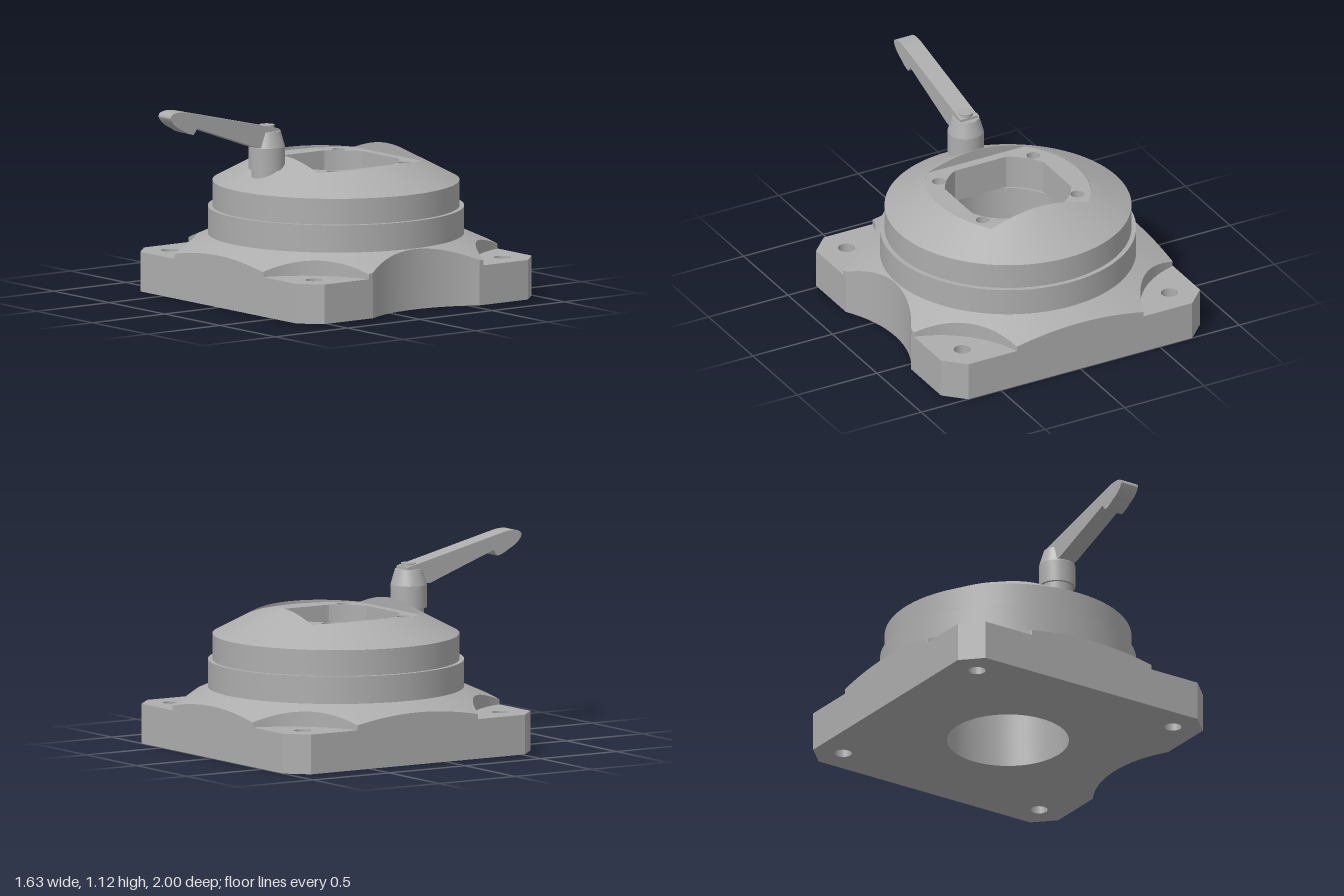
import * as THREE from 'three';
import { toCreasedNormals } from 'three/addons/utils/BufferGeometryUtils.js';

const AXIS_Z = -0.186;    // z of the turntable axis
const HALF = 0.814;       // half width of the base plate
const SEG = 720;
const CREASE = 0.2;

// distance along ray (angle t, x = sin, z = cos) to a circle; nearest or farthest hit
function hitCircle(t, cx, cz, r, far) {
  const b = Math.sin(t) * cx + Math.cos(t) * cz;
  const d = b * b - (cx * cx + cz * cz - r * r);
  if (d < 0 || (!far && b < 0)) return Infinity;
  return b + (far ? 1 : -1) * Math.sqrt(d);
}
const hitBox = (t, hx, hz) => Math.min(hx / Math.abs(Math.sin(t)), hz / Math.abs(Math.cos(t)));

// raised plate outline: square, four corner pockets, one side scallop
function plateRadius(t) {
  let r = Math.min(hitBox(t, HALF, HALF), hitCircle(t, 1.41, 0, 0.70, false));
  for (const sx of [-1, 1]) for (const sz of [-1, 1]) {
    r = Math.min(r, hitCircle(t, sx * 0.959, sz * 0.959, 0.578, false));
  }
  return r;
}
// top recess outline: two straight edges and two bowed sides
function recessRadius(t) {
  const side = Math.sin(t) < 0 ? -1 : 1;
  return Math.min(0.36 / Math.abs(Math.cos(t)), hitCircle(t, -0.107 * side, 0, 0.547, true));
}
const openingRadius = (t) => Math.min(hitBox(t, 0.31, 0.307), 0.347);

const skirtY = (r) => 0.34 - 0.45 * (r - 0.70);
const domeY = (r) => 0.633 + 0.524 * (0.678 - r);

// lathe whose profile [radius, y] depends on the angle
function sweep(profile) {
  const n = profile(0).length;
  const geo = new THREE.LatheGeometry(
    Array.from({ length: n }, (_, j) => new THREE.Vector2(1, j)), SEG);
  const pos = geo.attributes.position;
  for (let i = 0; i <= SEG; i++) {
    const t = (i % SEG) / SEG * Math.PI * 2;
    profile(t).forEach(([r, y], j) => pos.setXYZ(i * n + j, r * Math.sin(t), y, r * Math.cos(t)));
  }
  return toCreasedNormals(geo, CREASE);
}
function lathe(points, segments = 96) {
  const geo = new THREE.LatheGeometry(points.map((p) => new THREE.Vector2(...p)), segments);
  return toCreasedNormals(geo, CREASE);
}
// flat shape in x/z, raised from y0 to y1
function slab(shape, y0, y1) {
  const geo = new THREE.ExtrudeGeometry(shape, { depth: y1 - y0, bevelEnabled: false, curveSegments: 48 });
  geo.rotateX(-Math.PI / 2).translate(0, y0, 0);
  return toCreasedNormals(geo, CREASE);
}
// counter-clockwise outline points
function outline(radius, steps) {
  return Array.from({ length: steps }, (_, i) => {
    const t = -i / steps * Math.PI * 2, r = radius(t);
    return new THREE.Vector2(r * Math.sin(t), r * Math.cos(t));
  });
}
const circle = (x, y, r) => new THREE.Path().absarc(x, y, r, 0, Math.PI * 2, false);

export function createModel() {
  const grey = new THREE.MeshStandardMaterial({ color: 0xadadad });
  grey.name = 'machined grey';
  const model = new THREE.Group();
  const add = (parent, name, geo) => {
    const mesh = new THREE.Mesh(geo, grey);
    mesh.name = name;
    parent.add(mesh);
    return mesh;
  };

  const mount = new THREE.Group();
  mount.name = 'mount';
  mount.position.z = AXIS_Z;
  model.add(mount);

  // base plate with chamfered corners, side scallop, bore and bolt holes
  const c = HALF - 0.11;
  const a = Math.acos((1.41 - HALF) / 0.70);
  const plate = new THREE.Shape();
  plate.moveTo(-c, -HALF).lineTo(c, -HALF).lineTo(HALF, -c);
  plate.absarc(1.41, 0, 0.70, Math.PI + a, Math.PI - a, true);
  plate.lineTo(HALF, c).lineTo(c, HALF).lineTo(-c, HALF).lineTo(-HALF, c).lineTo(-HALF, -c);
  plate.closePath();
  plate.holes.push(circle(0, 0, 0.335));
  for (const sx of [-1, 1]) for (const sz of [-1, 1]) plate.holes.push(circle(sx * 0.651, sz * 0.651, 0.047));
  add(mount, 'basePlate', slab(plate, 0, 0.22));

  // sloping skirt above the plate
  add(mount, 'baseSkirt', sweep((t) => {
    const r = plateRadius(t);
    return [[r, 0.22], [r, skirtY(r)], [0.69, skirtY(0.69)]];
  }));

  // stepped round body
  add(mount, 'bodyRings', lathe([[0.704, 0.32], [0.704, 0.49], [0.678, 0.49], [0.678, 0.633]], 128));

  // conical cap and the wall of its recess
  add(mount, 'conicalCap', sweep((t) => {
    const r = recessRadius(t);
    return [[0.678, 0.633], [r, domeY(r)], [r, 0.735]];
  }));

  // recess floor with the central opening and four blind bolt holes
  const floor = new THREE.Shape(outline(recessRadius, 360));
  floor.holes.push(new THREE.Path(outline(openingRadius, 360)));
  for (const sx of [-1, 1]) for (const sz of [-1, 1]) {
    floor.holes.push(circle(sx * 0.297, sz * 0.247, 0.037));
    const bottom = add(mount, 'boltHoleBottom', new THREE.CircleGeometry(0.04, 32).rotateX(-Math.PI / 2));
    bottom.position.set(sx * 0.297, 0.62, sz * 0.247);
  }
  add(mount, 'recessFloor', slab(floor, 0.55, 0.74));

  // lower bore
  add(mount, 'bore', lathe([[0.38, 0.55], [0.335, 0.55], [0.335, 0]]));

  // clamping lever: hub and arm
  const clamp = new THREE.Group();
  clamp.name = 'clampLever';
  model.add(clamp);
  const hub = add(clamp, 'leverHub', lathe([[0.085, 0.6], [0.085, 0.74], [0.1, 0.74], [0.1, 0.865],
    [0.075, 0.952], [0.042, 0.952], [0.042, 0.985], [0, 0.985]], 48));
  hub.position.z = 0.292;

  const arm = new THREE.Shape();
  arm.moveTo(0.25, 0.87).lineTo(0.397, 0.87).lineTo(0.815, 1.02).lineTo(0.84, 0.987);
  arm.quadraticCurveTo(0.88, 0.993, 0.917, 1.02);
  arm.quadraticCurveTo(0.98, 1.045, 1.0, 1.09);
  arm.quadraticCurveTo(1.0, 1.112, 0.97, 1.118);
  arm.quadraticCurveTo(0.93, 1.125, 0.885, 1.115);
  arm.lineTo(0.25, 0.966).closePath();
  const armGeo = new THREE.ExtrudeGeometry(arm, { depth: 0.11, bevelEnabled: false, curveSegments: 10 });
  armGeo.translate(0, 0, -0.055).rotateY(-Math.PI / 2);
  add(clamp, 'leverArm', toCreasedNormals(armGeo, CREASE));

  return model;
}
